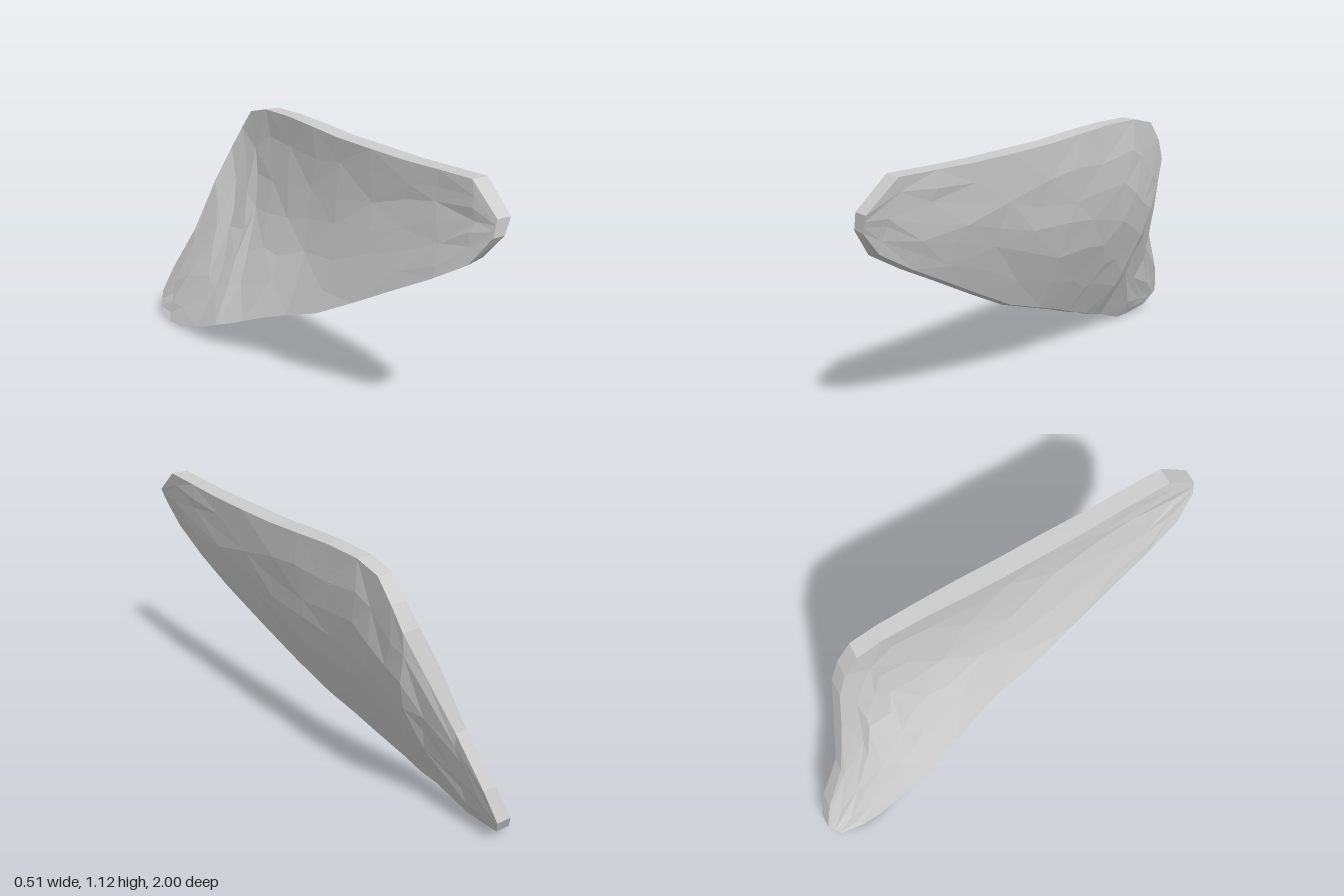
import * as THREE from 'three';

// Edge points as [z, y, inner x, outer x], from the front tip to the back tail.
// UPPER follows the top and back edge, LOWER the sloping bottom edge.
const UPPER = [
  [1, 0.99, 0.185, 0.25], [0.86, 1.105, 0.18, 0.255], [0.68, 1.1, 0.168, 0.243], [0.5, 1.095, 0.152, 0.232],
  [0.29, 1.097, 0.135, 0.22], [0.08, 1.1, 0.12, 0.203], [-0.1, 1.112, 0.108, 0.19], [-0.28, 1.122, 0.1, 0.172],
  [-0.46, 1.12, 0.09, 0.157], [-0.58, 1.09, 0.08, 0.15], [-0.65, 1.0, 0.07, 0.14], [-0.7, 0.9, 0.04, 0.12],
  [-0.75, 0.73, -0.03, 0.05], [-0.83, 0.47, -0.11, -0.055], [-0.95, 0.25, -0.175, -0.11], [-1, 0.11, -0.22, -0.15],
];
const LOWER = [
  [1, 0.92, 0.17, 0.225], [0.92, 0.8, 0.13, 0.203], [0.76, 0.7, 0.093, 0.18], [0.58, 0.6, 0.058, 0.147],
  [0.36, 0.475, 0.015, 0.09], [0.15, 0.36, -0.03, 0.035], [-0.05, 0.285, -0.06, 0], [-0.2, 0.225, -0.105, -0.045],
  [-0.3, 0.18, -0.14, -0.075], [-0.38, 0.145, -0.17, -0.1], [-0.46, 0.115, -0.2, -0.12], [-0.54, 0.08, -0.215, -0.14],
  [-0.61, 0.055, -0.225, -0.165], [-0.77, 0.005, -0.25, -0.2], [-0.85, 0, -0.257, -0.21], [-0.96, 0.03, -0.257, -0.19],
];
const ROWS = 6;
const BULGE = 0.09;

function seeded(seed) {
  return () => {
    seed = (seed * 16807) % 2147483647;
    return seed / 2147483647 - 0.5;
  };
}

function toGeometry(triangles) {
  const geometry = new THREE.BufferGeometry();
  geometry.setAttribute('position', new THREE.Float32BufferAttribute(triangles.flat(2), 3));
  geometry.computeVertexNormals();
  return geometry;
}

// Columns of points across one broad side, bowed towards +x and slightly uneven inside
function sideColumns(outer) {
  const random = seeded(outer ? 71234 : 393811);
  const k = outer ? 3 : 2;
  return UPPER.map((top, c) => {
    const low = LOWER[c];
    const lowY = low[1] + (outer && c > 0 && c < 13 ? 0.018 : 0);
    const length = Math.hypot(top[0] - low[0], top[1] - lowY);
    const interior = c > 0 && c < UPPER.length - 1;
    return Array.from({ length: ROWS + 1 }, (_, r) => {
      const uneven = interior && r > 0 && r < ROWS ? 1 : 0;
      const t = (r + random() * 0.5 * uneven) / ROWS;
      const bow = BULGE * length * length * Math.sin(Math.PI * t);
      return [
        THREE.MathUtils.lerp(top[k], low[k], t) + bow + random() * 0.012 * uneven,
        THREE.MathUtils.lerp(top[1], lowY, t),
        THREE.MathUtils.lerp(top[0], low[0], t) + random() * 0.05 * uneven,
      ];
    });
  });
}

// Faceted broad side with alternating diagonals
function sideGeometry(columns, outer) {
  const triangles = [];
  const add = (a, b, c) => triangles.push(outer ? [a, c, b] : [a, b, c]);
  for (let c = 0; c < columns.length - 1; c++) {
    for (let r = 0; r < ROWS; r++) {
      const a = columns[c][r], b = columns[c + 1][r];
      const d = columns[c][r + 1], e = columns[c + 1][r + 1];
      if ((c + r) % 2) {
        add(a, b, d);
        add(b, e, d);
      } else {
        add(a, b, e);
        add(a, e, d);
      }
    }
  }
  return toGeometry(triangles);
}

// Closed edge loop around a broad side
function edgeLoop(columns) {
  const last = columns.length - 1;
  return [
    ...columns.map((col) => col[0]),
    ...columns[last].slice(1, ROWS),
    ...columns.map((col) => col[ROWS]).reverse(),
    ...columns[0].slice(1, ROWS).reverse(),
  ];
}

// Band joining the two broad sides
function rimGeometry(inner, outer) {
  const triangles = [];
  for (let i = 0; i < inner.length; i++) {
    const j = (i + 1) % inner.length;
    triangles.push([outer[i], outer[j], inner[i]], [outer[j], inner[j], inner[i]]);
  }
  return toGeometry(triangles);
}

export function createModel() {
  const group = new THREE.Group();
  group.name = 'curvedSlab';
  const stone = new THREE.MeshStandardMaterial({ color: 0xcccccc, flatShading: true });
  stone.name = 'grey stone';

  const inner = sideColumns(false);
  const outer = sideColumns(true);
  const parts = {
    innerFace: sideGeometry(inner, false),
    outerFace: sideGeometry(outer, true),
    rim: rimGeometry(edgeLoop(inner), edgeLoop(outer)),
  };
  for (const [name, geometry] of Object.entries(parts)) {
    const mesh = new THREE.Mesh(geometry, stone);
    mesh.name = name;
    group.add(mesh);
  }
  return group;
}
